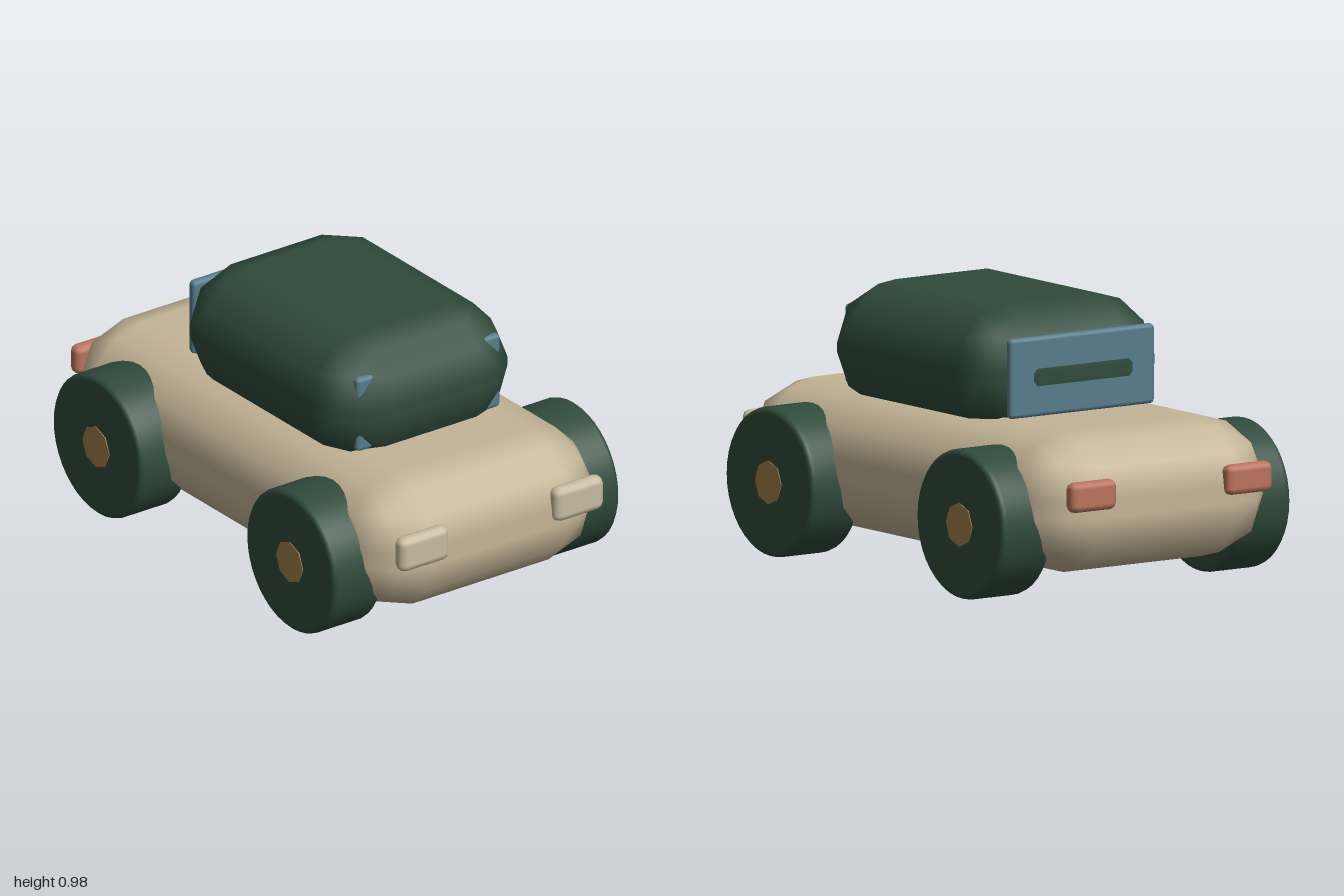
import * as THREE from 'three';
import { ConvexGeometry } from 'three/addons/geometries/ConvexGeometry.js';

const paint = (name, color) => Object.assign(new THREE.MeshStandardMaterial({ color }), { name });

// Box with smooth corners of three segments; half sizes h and corner radii r along x, y, z
function softBox(h, r) {
  const inner = h.map((v, i) => v - r[i]);
  const points = [];
  const n = 3;
  const s = (i) => Math.sin((Math.PI / 2) * (i / n));
  for (const sx of [-1, 1]) for (const sy of [-1, 1]) for (const sz of [-1, 1]) {
    for (let i = 0; i <= n; i++) for (let j = 0; j <= n - i; j++) {
      const d = new THREE.Vector3(s(i), s(j), s(n - i - j)).normalize();
      points.push(new THREE.Vector3(
        sx * (inner[0] + r[0] * d.x),
        sy * (inner[1] + r[1] * d.y),
        sz * (inner[2] + r[2] * d.z)));
    }
  }
  const geometry = new ConvexGeometry(points);
  // Smooth normals point away from the inner box
  const p = geometry.attributes.position;
  const normal = new THREE.Vector3();
  for (let i = 0; i < p.count; i++) {
    const d = [p.getX(i), p.getY(i), p.getZ(i)].map((v, a) =>
      (v - THREE.MathUtils.clamp(v, -inner[a], inner[a])) / (r[a] * r[a]));
    normal.set(...d).normalize();
    geometry.attributes.normal.setXYZ(i, normal.x, normal.y, normal.z);
  }
  return geometry;
}

export function createModel() {
  const car = new THREE.Group();
  car.name = 'car';
  const cream = paint('creamBody', 0xc4b597);
  const green = paint('darkGreen', 0x2f4a3b);
  const lamp = paint('paleLamp', 0xc6bba1);
  const red = paint('rearLampRed', 0xba735c);
  const glass = paint('blueGlass', 0x567c8c);
  const brass = paint('brassHub', 0xa17f4b);

  const add = (name, geometry, material, x, y, z) => {
    const mesh = new THREE.Mesh(geometry, material);
    mesh.name = name;
    mesh.position.set(x, y, z);
    car.add(mesh);
    return mesh;
  };

  // Body and cabin
  add('body', softBox([0.52, 0.252, 0.968], [0.22, 0.22, 0.22]), cream, 0, 0.344, 0);
  add('cabin', softBox([0.41, 0.24, 0.532], [0.21, 0.225, 0.205]), green, 0, 0.74, 0.074);

  // Windows, partly sunk into the cabin
  const pane = softBox([0.315, 0.143, 0.018], [0.015, 0.015, 0.015]);
  add('windscreen', pane, glass, 0, 0.742, 0.537);
  add('rearWindow', pane, glass, 0, 0.742, -0.436);

  // Wheel turned around x, with a rounded rim
  const R = 0.268, W = 0.108, b = 0.022;
  const profile = [new THREE.Vector2(0, -W), new THREE.Vector2(R - b, -W)];
  for (const [side, from] of [[-1, 0], [1, 0]]) {
    for (let i = 0; i <= 3; i++) {
      const a = (Math.PI / 6) * (side < 0 ? i : 3 - i) + from;
      profile.push(new THREE.Vector2(R - b + b * Math.sin(a), side * (W - b + b * Math.cos(a))));
    }
  }
  profile.push(new THREE.Vector2(R - b, W), new THREE.Vector2(0, W));
  // Drop repeated points, keep the side faces crisp
  const rim = profile.filter((p, i) => i === 0 || p.distanceTo(profile[i - 1]) > 1e-5);
  const wheel = new THREE.LatheGeometry(rim, 40);
  const hub = new THREE.CylinderGeometry(0.079, 0.079, 0.222, 8);
  wheel.rotateZ(-Math.PI / 2);
  hub.rotateZ(-Math.PI / 2);

  // Lamps
  const headlamp = softBox([0.107, 0.065, 0.03], [0.027, 0.027, 0.027]);
  const tailLamp = softBox([0.098, 0.054, 0.029], [0.024, 0.024, 0.024]);

  for (const [side, sx] of [['left', 1], ['right', -1]]) {
    for (const [end, sz] of [['Front', 1], ['Rear', -1]]) {
      add(side + end + 'Wheel', wheel, green, sx * 0.52, 0.27, sz * 0.575);
      add(side + end + 'Hub', hub, brass, sx * 0.52, 0.27, sz * 0.575);
    }
    add(side + 'Headlamp', headlamp, lamp, sx * 0.34, 0.396, 0.969);
    add(side + 'TailLamp', tailLamp, red, sx * 0.34, 0.398, -0.971);
  }
  return car;
}
